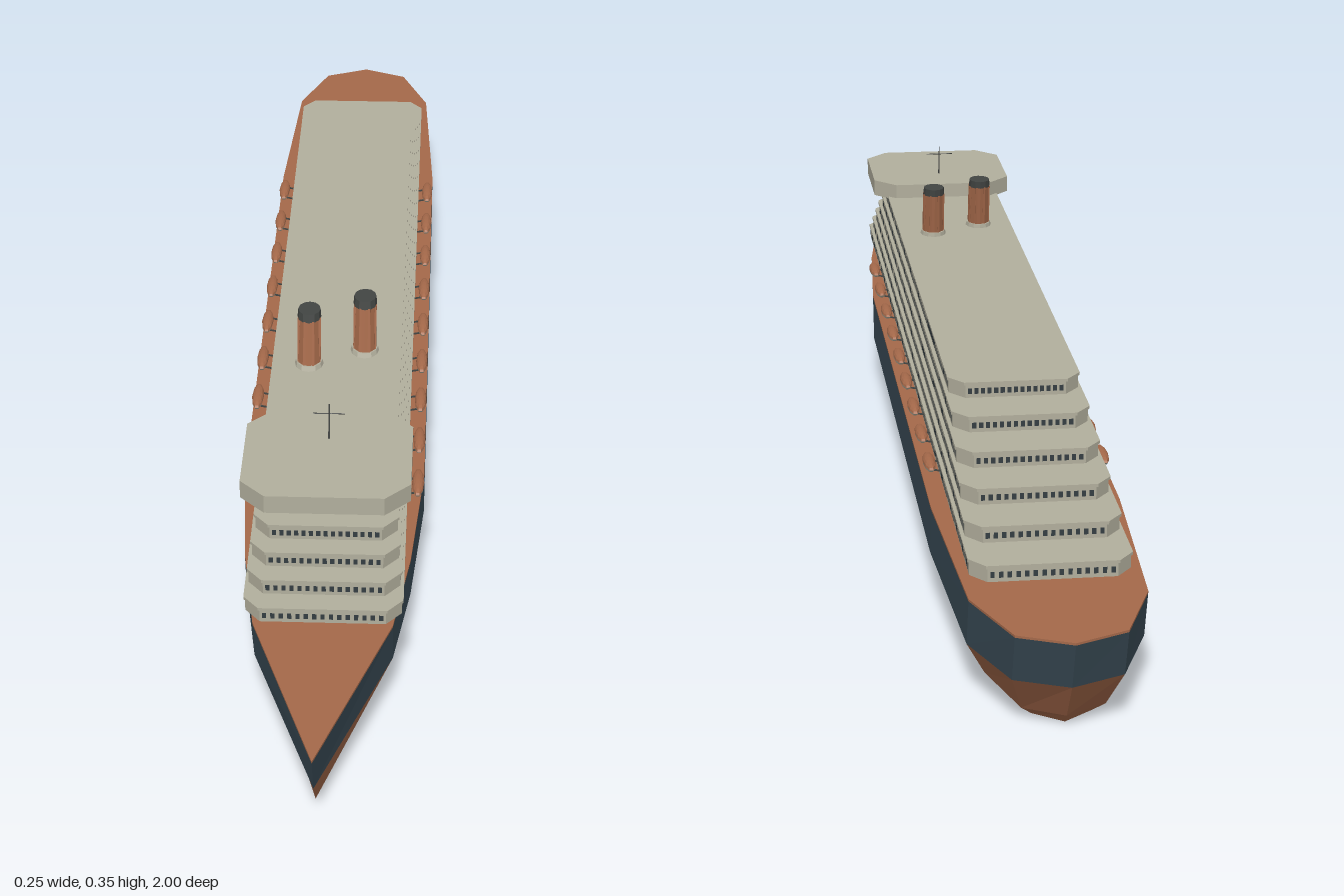
import * as THREE from 'three';
import { mergeGeometries } from 'three/addons/utils/BufferGeometryUtils.js';

const flat = (name, color) => {
  const m = new THREE.MeshStandardMaterial({ color });
  m.name = name;
  m.flatShading = true;
  return m;
};

// Deck plan from bow to stern along the left side: [half width, z]
const HALF_PLAN = [[0, 1], [0.09, 0.72], [0.11, 0.57], [0.125, 0.36], [0.125, -0.56],
  [0.11, -0.86], [0.068, -0.97], [0, -1]];
const PLAN = [...HALF_PLAN, ...HALF_PLAN.slice(1, -1).reverse().map(([x, z]) => [-x, z])];

// One hull ring: height, width scale, bow and stern length scale
const ring = ([y, sx, bow, stern]) =>
  PLAN.map(([x, z]) => [x * sx, y, z * (z > 0 ? bow : stern)]);

// Skin between hull rings, optionally closed at the bottom or top
function loft(levels, capBottom, capTop) {
  const rings = levels.map(ring), p = [], n = PLAN.length;
  const tri = (a, b, c) => p.push(...a, ...b, ...c);
  for (let k = 0; k < rings.length - 1; k++) {
    for (let i = 0; i < n; i++) {
      const j = (i + 1) % n, lo = rings[k], hi = rings[k + 1];
      tri(lo[i], lo[j], hi[j]);
      tri(lo[i], hi[j], hi[i]);
    }
  }
  const bottom = rings[0], top = rings[rings.length - 1];
  for (let i = 1; i < n - 1; i++) {
    if (capBottom) tri(bottom[0], bottom[i + 1], bottom[i]);
    if (capTop) tri(top[0], top[i], top[i + 1]);
  }
  const g = new THREE.BufferGeometry();
  g.setAttribute('position', new THREE.Float32BufferAttribute(p, 3));
  g.computeVertexNormals();
  return g;
}

// Slab with cut corners, standing on y
function slab(half, front, back, y, height, cutX, cutZ) {
  const pts = [[half - cutX, front], [half, front - cutZ], [half, back + cutZ], [half - cutX, back]];
  const all = [...pts, ...pts.map(([x, z]) => [-x, z]).reverse()];
  const shape = new THREE.Shape(all.map(([x, z]) => new THREE.Vector2(x, -z)));
  return new THREE.ExtrudeGeometry(shape, { depth: height, bevelEnabled: false })
    .rotateX(-Math.PI / 2).translate(0, y, 0);
}

export function createModel() {
  const root = new THREE.Group();
  root.name = 'cruiseShip';
  const rust = flat('rust', 0xa5694a);
  const navy = flat('navy', 0x3b4d58);
  const cream = flat('cream', 0xb2af9d);
  const soot = flat('soot', 0x424543);
  const glass = flat('glass', 0x343d42);
  const add = (name, geo, mat, parent = root) => {
    const m = new THREE.Mesh(geo, mat);
    m.name = name;
    parent.add(m);
    return m;
  };

  // Hull
  add('lowerHull', loft([[0, 0.55, 0.89, 0.92], [0.015, 0.76, 0.915, 0.935],
    [0.071, 1, 0.965, 0.975]], true, false), rust);
  add('upperHull', loft([[0.071, 1, 0.965, 0.975], [0.137, 1, 1, 1]], false, false), navy);
  add('mainDeck', loft([[0.137, 1, 1, 1], [0.14, 1, 1, 1]], false, true), rust);

  // Stepped passenger decks with overhanging ledges and window rows
  const panes = [];
  const H = 0.0225, TIERS = 6;
  for (let t = 0; t < TIERS; t++) {
    const y = 0.14 + t * H, half = 0.103 - t * 0.0027;
    const front = 0.72 - t * 0.03, back = -0.815 + t * 0.071;
    add('deckTier' + (t + 1), slab(half - 0.002, front - 0.003, back + 0.003, y, H - 0.004, 0.02, 0.025), cream);
    add('deckLedge' + (t + 1), slab(half, front, back, y + H - 0.004, 0.004, 0.02, 0.025), cream);
    const yc = y + 0.0095, zs = front - 0.035, ze = back + 0.035;
    const count = Math.round((zs - ze) / 0.014);
    for (let i = 0; i <= count; i++) {
      const z = zs + (ze - zs) * i / count;
      for (const s of [1, -1]) {
        panes.push(new THREE.PlaneGeometry(0.008, 0.009).rotateY(s * Math.PI / 2)
          .translate(s * (half - 0.0012), yc, z));
      }
    }
    for (let i = -7; i <= 7; i++) {
      const x = i * (half - 0.028) / 7;
      panes.push(new THREE.PlaneGeometry(0.0055, 0.008).translate(x, yc, front - 0.0022));
      panes.push(new THREE.PlaneGeometry(0.0055, 0.008).rotateY(Math.PI).translate(x, yc, back + 0.0022));
    }
  }
  add('cabinWindows', mergeGeometries(panes), glass);

  // Bridge
  add('bridge', slab(0.11, 0.665, 0.455, 0.272, 0.025, 0.033, 0.035), cream);

  // Mast with yard
  const mast = new THREE.Group();
  mast.name = 'mast';
  mast.position.set(0, 0.295, 0.523);
  mast.rotation.x = -0.17;
  add('mastPole', new THREE.CylinderGeometry(0.0008, 0.0014, 0.05, 6).translate(0, 0.025, 0), soot, mast);
  add('mastYard', new THREE.CylinderGeometry(0.0007, 0.0007, 0.042, 6).rotateZ(Math.PI / 2)
    .translate(0, 0.037, 0), soot, mast);
  root.add(mast);

  // Two staggered funnels, sheared towards the stern
  const lean = new THREE.Matrix4().set(1, 0, 0, 0, 0, 1, 0, 0, 0, -0.2, 1, 0, 0, 0, 0, 1);
  const funnelPart = (rTop, rBottom, y0, y1, sides = 12) =>
    new THREE.CylinderGeometry(rTop, rBottom, y1 - y0, sides)
      .scale(1, 1, 1.25).translate(0, (y0 + y1) / 2, 0).applyMatrix4(lean);
  for (const [x, z] of [[-0.038, 0.29], [0.038, 0.25]]) {
    const f = new THREE.Group();
    f.name = x < 0 ? 'rightFunnel' : 'leftFunnel';
    f.position.set(x, 0.275, z);
    add('funnelFoot', funnelPart(0.0185, 0.02, 0, 0.006), cream, f);
    add('funnelStack', funnelPart(0.0145, 0.0165, 0.004, 0.068), rust, f);
    add('funnelCap', funnelPart(0.0155, 0.0165, 0.067, 0.078), soot, f);
    // Vertical ribs around the stack
    const ribs = [];
    for (let i = 0; i < 8; i++) {
      const a = (i + 0.5) * Math.PI / 4;
      ribs.push(new THREE.BoxGeometry(0.003, 0.062, 0.003)
        .translate(Math.cos(a) * 0.0155, 0.037, Math.sin(a) * 0.0155 * 1.25).applyMatrix4(lean));
    }
    add('funnelRibs', mergeGeometries(ribs), rust, f);
    root.add(f);
  }

  // Lifeboats hung along both sides
  const boatHull = new THREE.SphereGeometry(1, 10, 4, 0, Math.PI * 2, Math.PI / 2, Math.PI / 2)
    .scale(0.0085, 0.008, 0.034);
  const boatCover = new THREE.SphereGeometry(1, 10, 4, 0, Math.PI * 2, 0, Math.PI / 2)
    .scale(0.0085, 0.007, 0.034);
  const davit = new THREE.BoxGeometry(0.02, 0.002, 0.002);
  for (const s of [1, -1]) {
    for (let i = 0; i < 9; i++) {
      const b = new THREE.Group();
      b.name = (s > 0 ? 'left' : 'right') + 'Lifeboat' + (i + 1);
      b.position.set(s * 0.117, 0.165, 0.42 - i * 0.11);
      add('boatHull', boatHull, cream, b);
      add('boatCover', boatCover, rust, b);
      for (const z of [-0.018, 0.018]) {
        const d = add('davit', davit, soot, b);
        d.position.set(-s * 0.01, -0.006, z);
        d.rotation.z = s * 0.2;
      }
      root.add(b);
    }
  }
  return root;
}
